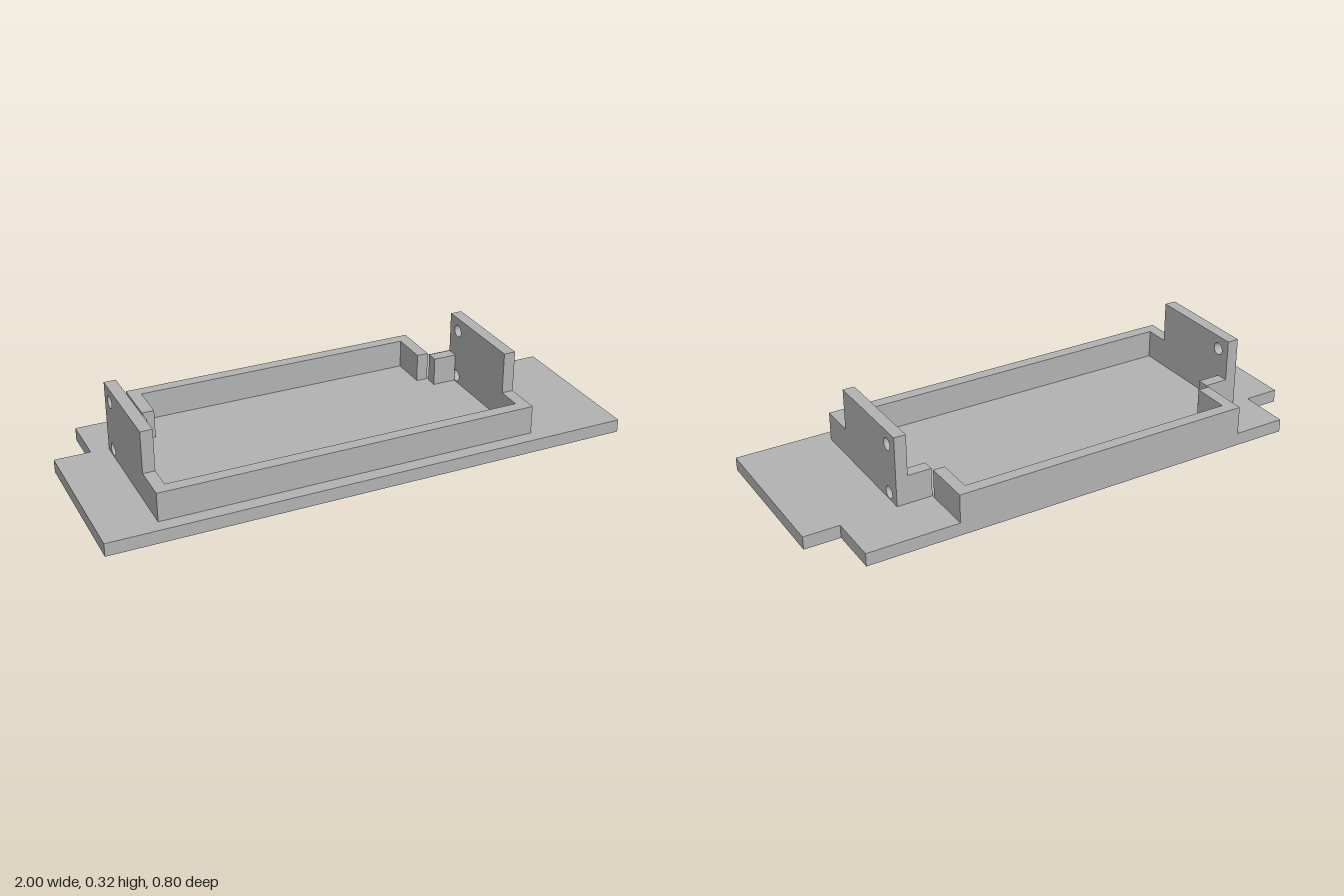
import * as THREE from 'three';

const BASE = 0.05, RIM = 0.16, TOP = 0.32;

export function createModel() {
  const model = new THREE.Group();
  model.name = 'mountingTray';
  const grey = new THREE.MeshStandardMaterial({ color: 0xb2b2b2 });
  grey.name = 'plain grey';

  const add = (name, geometry) => {
    const mesh = new THREE.Mesh(geometry, grey);
    mesh.name = name;
    model.add(mesh);
    return mesh;
  };
  const polygon = (points) => new THREE.Shape(points.map(([x, y]) => new THREE.Vector2(x, y)));
  const extrude = (shape, depth) =>
    new THREE.ExtrudeGeometry(shape, { depth, bevelEnabled: false, curveSegments: 24 });

  // Low wall standing on the base, given by its footprint
  const wall = (name, x0, x1, z0, z1) => {
    const mesh = add(name, new THREE.BoxGeometry(x1 - x0, RIM - BASE, z1 - z0));
    mesh.position.set((x0 + x1) / 2, (BASE + RIM) / 2, (z0 + z1) / 2);
  };

  // Base plate with notched rear corners (shape y becomes -z)
  const base = extrude(polygon([
    [-1, -0.398], [1, -0.398], [1, 0.202], [0.864, 0.202],
    [0.864, 0.398], [-0.864, 0.398], [-0.864, 0.202], [-1, 0.202],
  ]), BASE);
  base.rotateX(-Math.PI / 2);
  add('basePlate', base);

  // Stepped side plates with two screw holes (shape x becomes -z)
  const sidePlate = (name, x0, x1) => {
    const shape = polygon([
      [-0.346, BASE], [0.197, BASE], [0.197, TOP],
      [-0.205, TOP], [-0.205, RIM], [-0.346, RIM],
    ]);
    for (const y of [0.077, 0.268]) {
      shape.holes.push(new THREE.Path().absarc(0.139, y, 0.0235, 0, Math.PI * 2, true));
    }
    const geometry = extrude(shape, x1 - x0);
    geometry.rotateY(Math.PI / 2);
    add(name, geometry).position.x = x0;
  };
  sidePlate('rightSidePlate', -0.797, -0.752);
  sidePlate('leftSidePlate', 0.604, 0.649);

  // Front wall and the short tabs behind the screw holes
  wall('frontWall', -0.752, 0.604, 0.3, 0.346);
  wall('rightTab', -0.752, -0.661, -0.197, -0.151);
  wall('leftTab', 0.513, 0.604, -0.197, -0.151);

  // Rear wall with forward returns, separated from the tabs by a narrow gap
  wall('rearWall', -0.661, 0.513, -0.398, -0.353);
  wall('rightReturn', -0.661, -0.615, -0.353, -0.209);
  wall('leftReturn', 0.468, 0.513, -0.353, -0.209);

  return model;
}
